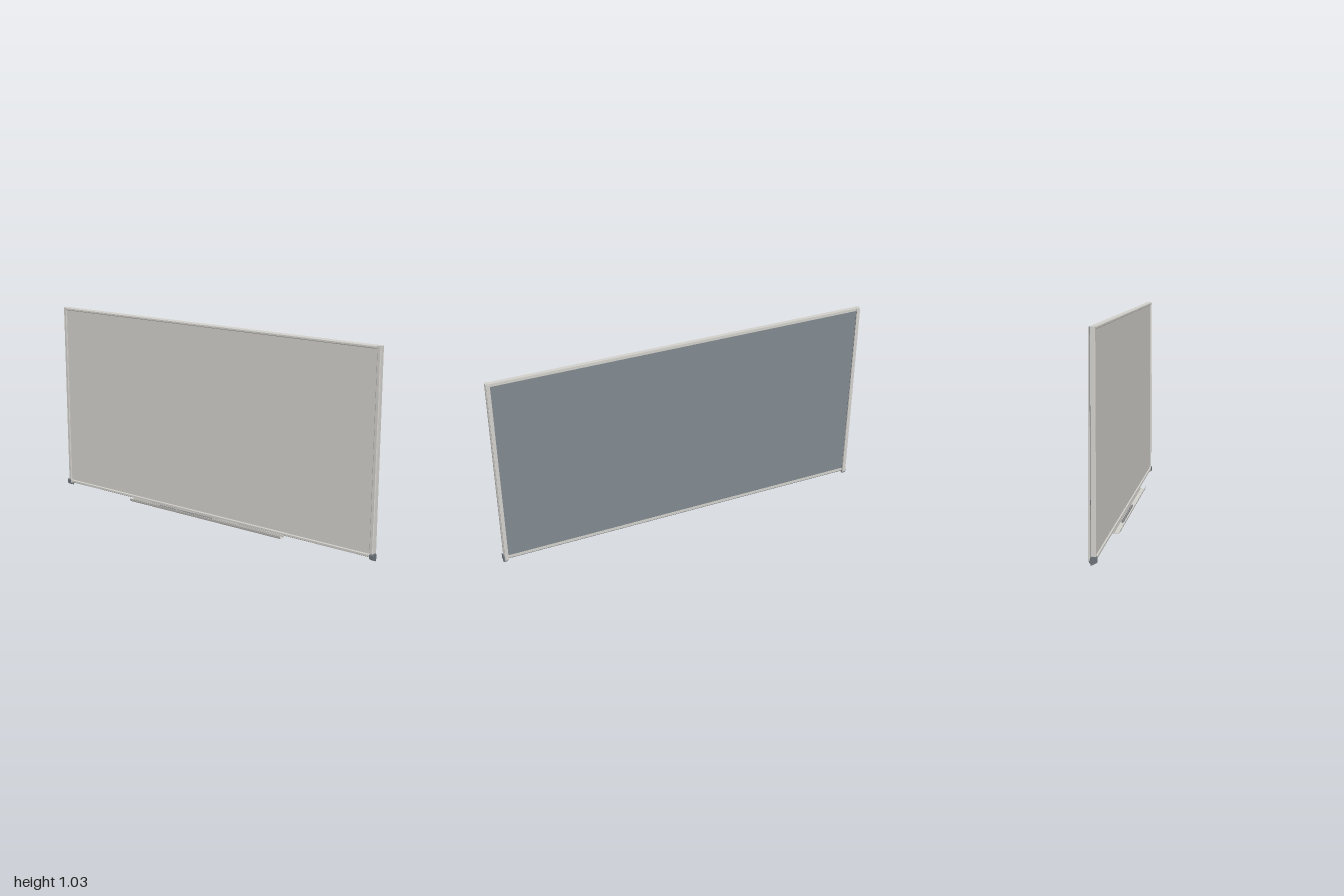
import * as THREE from 'three';

const material = (name, color) => {
  const m = new THREE.MeshStandardMaterial({ color });
  m.name = name;
  return m;
};

// Prism along x from a list of [z, y] corners
function prismX(points, x0, x1) {
  const shape = new THREE.Shape(points.map(([z, y]) => new THREE.Vector2(-z, y)));
  const g = new THREE.ExtrudeGeometry(shape, { depth: x1 - x0, bevelEnabled: false });
  return g.rotateY(Math.PI / 2).translate(x0, 0, 0);
}

// Prism along y from a list of [x, z] corners
function prismY(points, y0, y1) {
  const shape = new THREE.Shape(points.map(([x, z]) => new THREE.Vector2(x, -z)));
  const g = new THREE.ExtrudeGeometry(shape, { depth: y1 - y0, bevelEnabled: false });
  return g.rotateX(-Math.PI / 2).translate(0, y0, 0);
}

export function createModel() {
  const root = new THREE.Group();
  root.name = 'wallBoard';
  const surface = material('writing surface', 0xd2d0cb);
  const metal = material('satin aluminium', 0xd2d0cb);
  const backing = material('grey backing', 0x828a90);
  const plastic = material('dark plastic', 0x6c747a);
  const pen = material('pen grey', 0x85878a);

  const add = (name, geometry, mat, parent = root) => {
    const mesh = new THREE.Mesh(geometry, mat);
    mesh.name = name;
    parent.add(mesh);
    return mesh;
  };

  // Board: writing sheet in front, backing sheet behind
  add('writingPanel', new THREE.BoxGeometry(1.96, 1.0, 0.008), surface).position.set(0, 0.525, -0.008);
  add('backPanel', new THREE.BoxGeometry(1.96, 1.01, 0.009), backing).position.set(0, 0.525, -0.0165);

  // Top and bottom rails with softened front edges
  add('topRail', prismX([[-0.022, 1.02], [0, 1.02], [0.003, 1.023], [0.003, 1.031],
    [-0.001, 1.035], [-0.022, 1.035]], -0.985, 0.985), metal);
  add('bottomRail', prismX([[-0.022, 0.02], [-0.001, 0.02], [0.003, 0.023], [0.003, 0.033],
    [0, 0.036], [-0.022, 0.036]], -0.985, 0.985), metal);
  add('bottomSeal', new THREE.BoxGeometry(1.96, 0.004, 0.012), plastic).position.set(0, 0.0185, -0.015);

  for (const side of [-1, 1]) {
    const label = side > 0 ? 'left' : 'right';
    // Side rail: front profile, dark groove and tapering rear flange
    add(label + 'Rail', prismY([[0.975, -0.019], [0.975, 0], [0.978, 0.003], [0.991, 0.003],
      [0.995, -0.001], [0.995, -0.019]].map(([x, z]) => [x * side, z]), 0.015, 1.035), metal);
    const grooveX = side * 0.983;
    add(label + 'Groove', new THREE.BoxGeometry(0.016, 1.015, 0.004), plastic).position.set(grooveX, 0.525, -0.021);
    const flange = [[-0.022, 1.033], [-0.027, 1.033], [-0.033, 0.015], [-0.022, 0.015]];
    const fx = [side * 0.975, side * 0.993].sort((a, b) => a - b);
    add(label + 'RearFlange', prismX(flange, fx[0], fx[1]), metal);

    // Bottom corner cap
    const cap = [[0.004, 0.038], [0.007, 0.032], [0.007, 0.014], [-0.012, 0.004], [-0.02, 0],
      [-0.02, 0.008], [-0.028, 0.014], [-0.022, 0.036], [-0.016, 0.04], [-0.003, 0.04]];
    const cx = [side * 0.978, side].sort((a, b) => a - b);
    add(label + 'CornerCap', prismX(cap, cx[0], cx[1]), plastic);
  }

  // Pen tray: folded sheet with a raised front lip
  const tray = new THREE.Group();
  tray.name = 'penTray';
  root.add(tray);
  add('trayShelf', prismX([[-0.004, 0.022], [-0.004, 0.01], [0.028, 0.01], [0.031, 0.014], [0.034, 0.026],
    [0.032, 0.026], [0.029, 0.016], [0.027, 0.013], [0.004, 0.013], [0.004, 0.022]], -0.5, 0.49), metal, tray);

  // Three pens in a row, each a barrel with a slimmer tip end
  for (const x of [-0.245, -0.125, -0.005]) {
    const g = new THREE.CylinderGeometry(0.006, 0.006, 0.108, 12).rotateZ(Math.PI / 2);
    add('pen', g, pen, tray).position.set(x, 0.019, 0.016);
  }
  return root;
}
